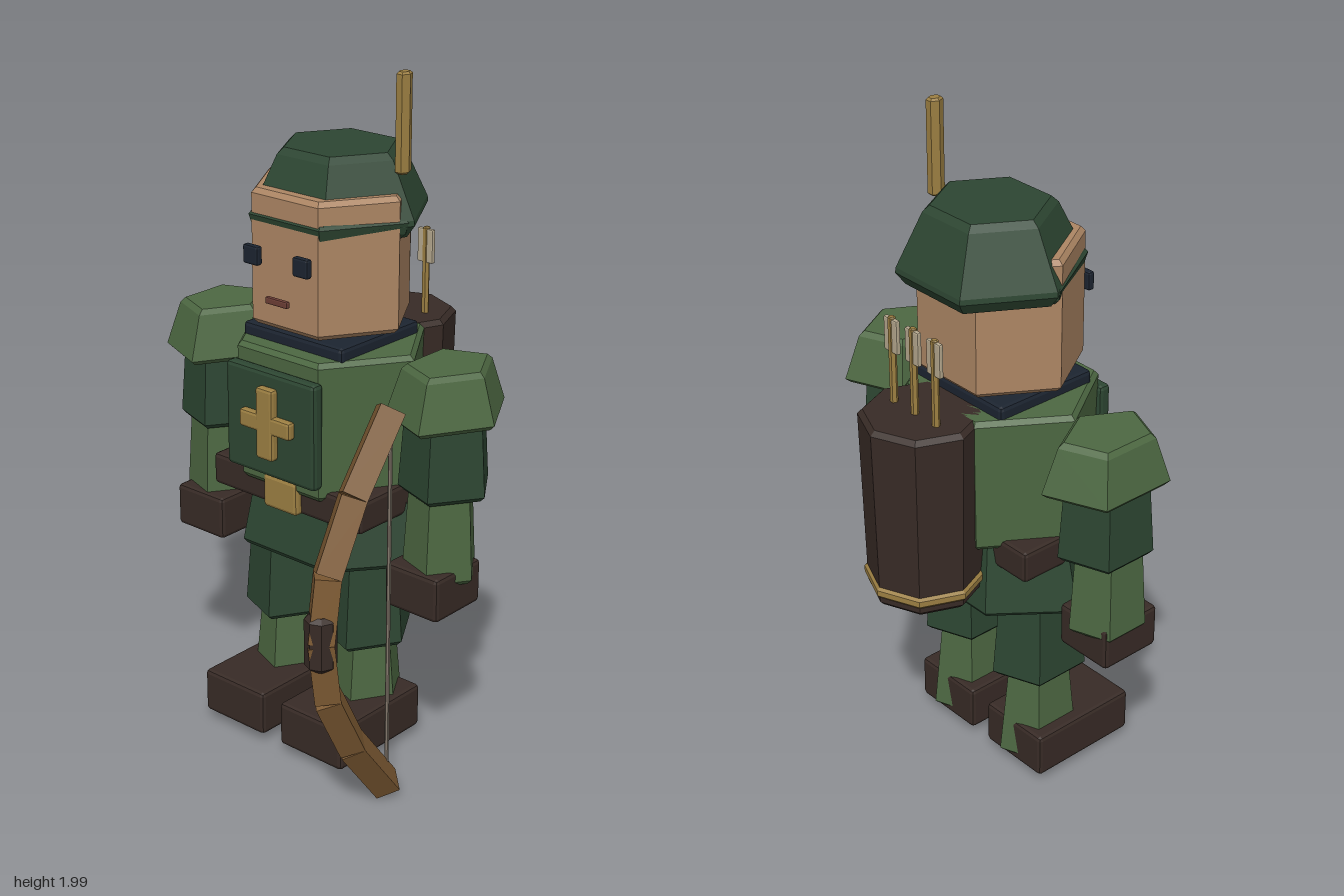
import * as THREE from 'three';
import { RoundedBoxGeometry } from 'three/addons/geometries/RoundedBoxGeometry.js';

const COLORS = {
  dark: 0x2d4632, green: 0x4d6842, brown: 0x382b26, skin: 0xad8664,
  gold: 0x9c7f42, wood: 0x7d5a33, navy: 0x1c2430, mouth: 0x6b3d35,
  cord: 0x81766a, pale: 0xb5a88e,
};
const mats = {};
for (const key in COLORS) {
  mats[key] = new THREE.MeshStandardMaterial({ color: COLORS[key], flatShading: true });
}

const CX = -0.015; // middle of the figure
const CZ = -0.05;

export function createModel() {
  const model = new THREE.Group();

  function add(name, geometry, color, x, y, z) {
    const mesh = new THREE.Mesh(geometry, mats[color]);
    mesh.name = name;
    mesh.position.set(x, y, z);
    model.add(mesh);
    return mesh;
  }

  // Chamfered box given by its centre and size
  function box(name, color, x, y, z, w, h, d) {
    const bevel = Math.min(0.012, Math.min(w, h, d) * 0.3);
    return add(name, new RoundedBoxGeometry(w, h, d, 1, bevel), color, x, y, z);
  }

  // Chamfered n-sided frustum from y0 to y1, one corner facing +x
  function prism(name, color, sides, x, z, y0, y1, r0, r1, depth = 1) {
    const c = Math.min(0.014, r0 * 0.3, r1 * 0.3);
    const profile = [[0, y0], [r0 - c, y0], [r0, y0 + c], [r1, y1 - c], [r1 - c, y1], [0, y1]]
      .map(([r, y]) => new THREE.Vector2(r, y));
    const mesh = add(name, new THREE.LatheGeometry(profile, sides, Math.PI / 2), color, x, 0, z);
    mesh.scale.z = depth;
    return mesh;
  }

  // Straight bar between two points
  function bar(name, color, a, b, radius, sides) {
    const dir = b.clone().sub(a);
    const mesh = add(name, new THREE.CylinderGeometry(radius, radius, dir.length(), sides), color, 0, 0, 0);
    mesh.position.copy(a).add(b).multiplyScalar(0.5);
    mesh.quaternion.setFromUnitVectors(new THREE.Vector3(0, 1, 0), dir.normalize());
    return mesh;
  }

  // Body
  prism('torso', 'green', 6, CX, CZ, 0.83, 1.24, 0.285, 0.297, 0.88);
  prism('skirt', 'dark', 6, CX, CZ, 0.61, 0.84, 0.32, 0.272, 0.73);
  box('belt', 'brown', CX, 0.812, -0.03, 0.555, 0.095, 0.36);
  box('buckle', 'gold', CX, 0.814, 0.155, 0.125, 0.1, 0.035);
  box('collar', 'navy', CX, 1.25, -0.047, 0.365, 0.05, 0.33);
  box('chestPlate', 'dark', CX, 1.035, 0.19, 0.328, 0.31, 0.04);
  box('crossUpright', 'gold', CX, 1.045, 0.22, 0.062, 0.21, 0.03);
  box('crossBar', 'gold', CX, 1.045, 0.22, 0.187, 0.052, 0.028);

  // Head and face
  prism('head', 'skin', 6, CX, CZ, 1.29, 1.675, 0.24, 0.24, 0.93);
  for (const side of [-1, 1]) box('eye', 'navy', CX + side * 0.09, 1.5, 0.173, 0.055, 0.055, 0.022);
  box('mouth', 'mouth', CX, 1.383, 0.173, 0.08, 0.02, 0.015);

  // Cap with brim and feather
  prism('capBrim', 'dark', 6, CX, -0.068, 1.555, 1.615, 0.245, 0.255, 0.975);
  const capProfile = [[0, 1.555], [0.235, 1.555], [0.262, 1.59], [0.26, 1.605], [0.185, 1.757], [0.165, 1.775], [0, 1.775]]
    .map(([r, y]) => new THREE.Vector2(r, y));
  add('cap', new THREE.LatheGeometry(capProfile, 6, Math.PI / 2), 'dark', CX, 0, -0.085).scale.z = 0.97;
  prism('feather', 'gold', 6, 0.198, -0.093, 1.725, 2.0, 0.02, 0.02, 1.25);

  // Arms and legs
  for (const side of [-1, 1]) {
    const ax = CX + side * 0.418;
    prism('shoulderPad', 'green', 5, ax, CZ, 1.095, 1.25, 0.155, 0.117, 1.27);
    prism('upperArm', 'dark', 5, ax, CZ, 0.88, 1.12, 0.13, 0.115, 1.08);
    prism('forearm', 'green', 5, ax, -0.035, 0.63, 0.9, 0.106, 0.092, 1.08);
    box('hand', 'brown', CX + side * 0.405, 0.61, -0.013, 0.185, 0.13, 0.195);

    const lx = CX + side * 0.15;
    prism('thigh', 'dark', 5, lx, -0.04, 0.35, 0.63, 0.126, 0.108, 1.19);
    prism('shin', 'green', 5, lx, -0.04, 0.06, 0.37, 0.106, 0.082, 1.2);
    box('shoe', 'brown', lx, 0.113, 0.038, 0.235, 0.135, 0.355);
  }

  // Quiver with arrows
  prism('quiver', 'brown', 8, CX, -0.333, 0.68, 1.24, 0.162, 0.173);
  prism('quiverBand', 'gold', 8, CX, -0.333, 0.705, 0.75, 0.171, 0.171);
  for (const i of [-1, 0, 1]) {
    const x = CX + i * 0.088;
    prism('arrowShaft', 'gold', 6, x, -0.355, 1.2, 1.495, 0.011, 0.011);
    box('arrowFletching', 'pale', x, 1.44, -0.355, 0.055, 0.1, 0.014);
  }

  // Bow: diamond-section segments along a symmetric arc
  const bowX = 0.388;
  const arc = [[1.18, 0.175], [0.98, 0.325], [0.79, 0.425], [0.61, 0.452], [0.43, 0.425], [0.24, 0.325], [0.045, 0.175]]
    .map(([y, z]) => new THREE.Vector3(bowX, y, z));
  for (let i = 0; i < arc.length - 1; i++) bar('bowSegment', 'wood', arc[i], arc[i + 1], 0.05, 4);
  prism('bowGrip', 'navy', 8, bowX, 0.452, 0.53, 0.69, 0.044, 0.044).material = mats.brown;
  bar('bowString', 'cord', arc[0], arc[arc.length - 1], 0.006, 6);

  return model;
}
